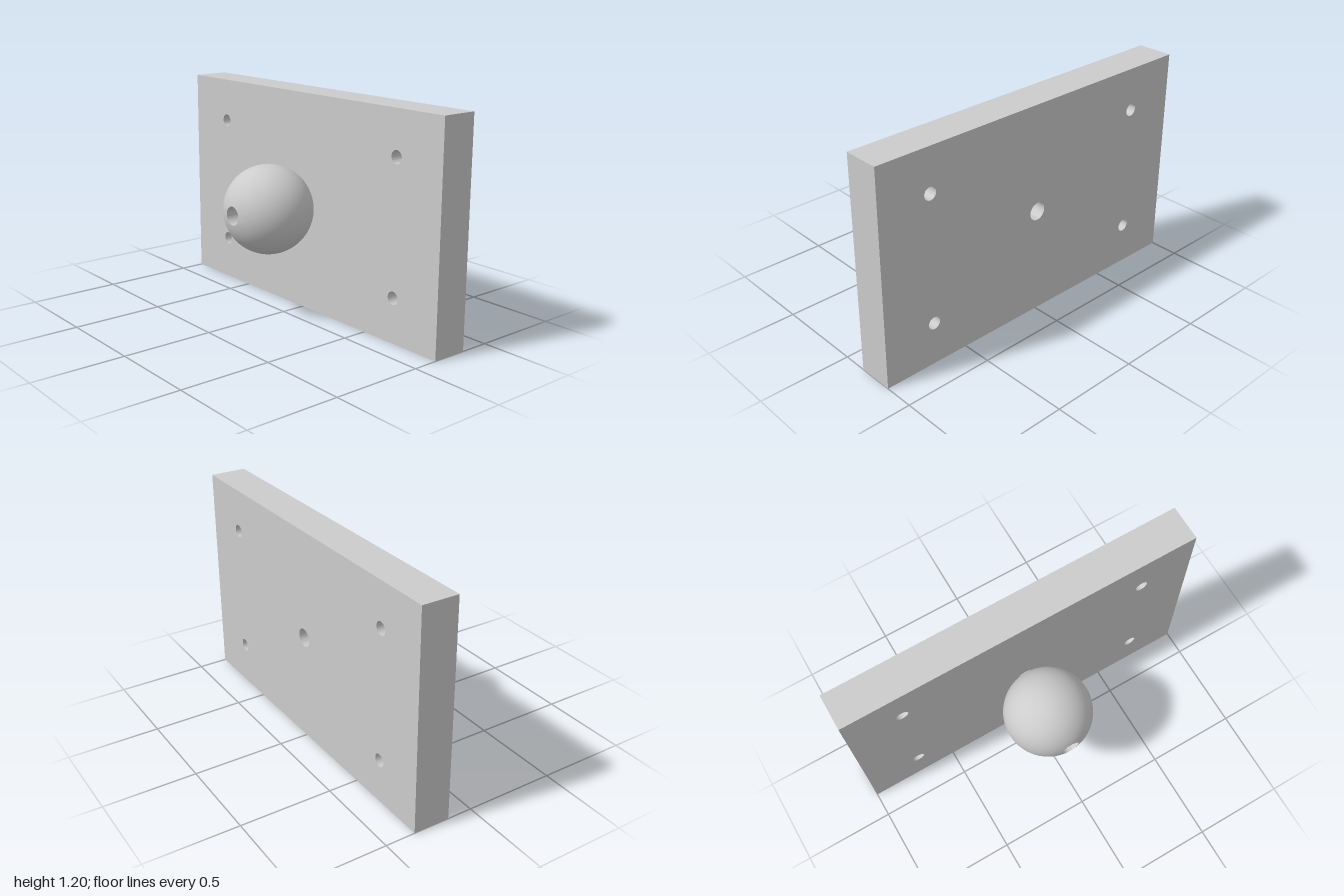
import * as THREE from 'three';
import { toCreasedNormals } from 'three/addons/utils/BufferGeometryUtils.js';

const WIDTH = 2, HEIGHT = 1.2, THICK = 0.2;
const BALL_R = 0.24, BORE_R = 0.05, SCREW_R = 0.035;
const BACK_Z = -0.337;
const MID_Y = HEIGHT / 2;

function addHole(shape, x, y, r) {
  const hole = new THREE.Path();
  hole.absarc(x, y, r, 0, Math.PI * 2, true);
  shape.holes.push(hole);
}

export function createModel() {
  const group = new THREE.Group();
  group.name = 'mountingPlateWithBall';
  const material = new THREE.MeshStandardMaterial({ color: 0xcccccc });

  // Plate with four screw holes and a central bore
  const outline = new THREE.Shape();
  outline.moveTo(-WIDTH / 2, 0);
  outline.lineTo(WIDTH / 2, 0);
  outline.lineTo(WIDTH / 2, HEIGHT);
  outline.lineTo(-WIDTH / 2, HEIGHT);
  outline.closePath();
  for (const x of [-0.7, 0.7]) {
    for (const y of [0.24, 0.96]) addHole(outline, x, y, SCREW_R);
  }
  addHole(outline, 0, MID_Y, BORE_R);

  const plateGeometry = new THREE.ExtrudeGeometry(outline, {
    depth: THICK, bevelEnabled: false, curveSegments: 32,
  });
  const plate = new THREE.Mesh(toCreasedNormals(plateGeometry, 0.6), material);
  plate.name = 'plate';
  plate.position.z = BACK_Z;
  group.add(plate);

  // Drilled ball: outer arc from rim to rim, closed by the bore wall
  const rimAngle = Math.acos(BORE_R / BALL_R);
  const profile = [];
  const steps = 40;
  for (let i = 0; i <= steps; i++) {
    const a = -rimAngle + (2 * rimAngle * i) / steps;
    profile.push(new THREE.Vector2(BALL_R * Math.cos(a), BALL_R * Math.sin(a)));
  }
  profile.push(profile[0].clone());
  const ballGeometry = new THREE.LatheGeometry(profile, 64);
  ballGeometry.rotateX(Math.PI / 2);
  const ball = new THREE.Mesh(toCreasedNormals(ballGeometry, 0.6), material);
  ball.name = 'drilledBall';
  ball.position.set(0, MID_Y, BACK_Z + THICK + BALL_R);
  group.add(ball);

  return group;
}
